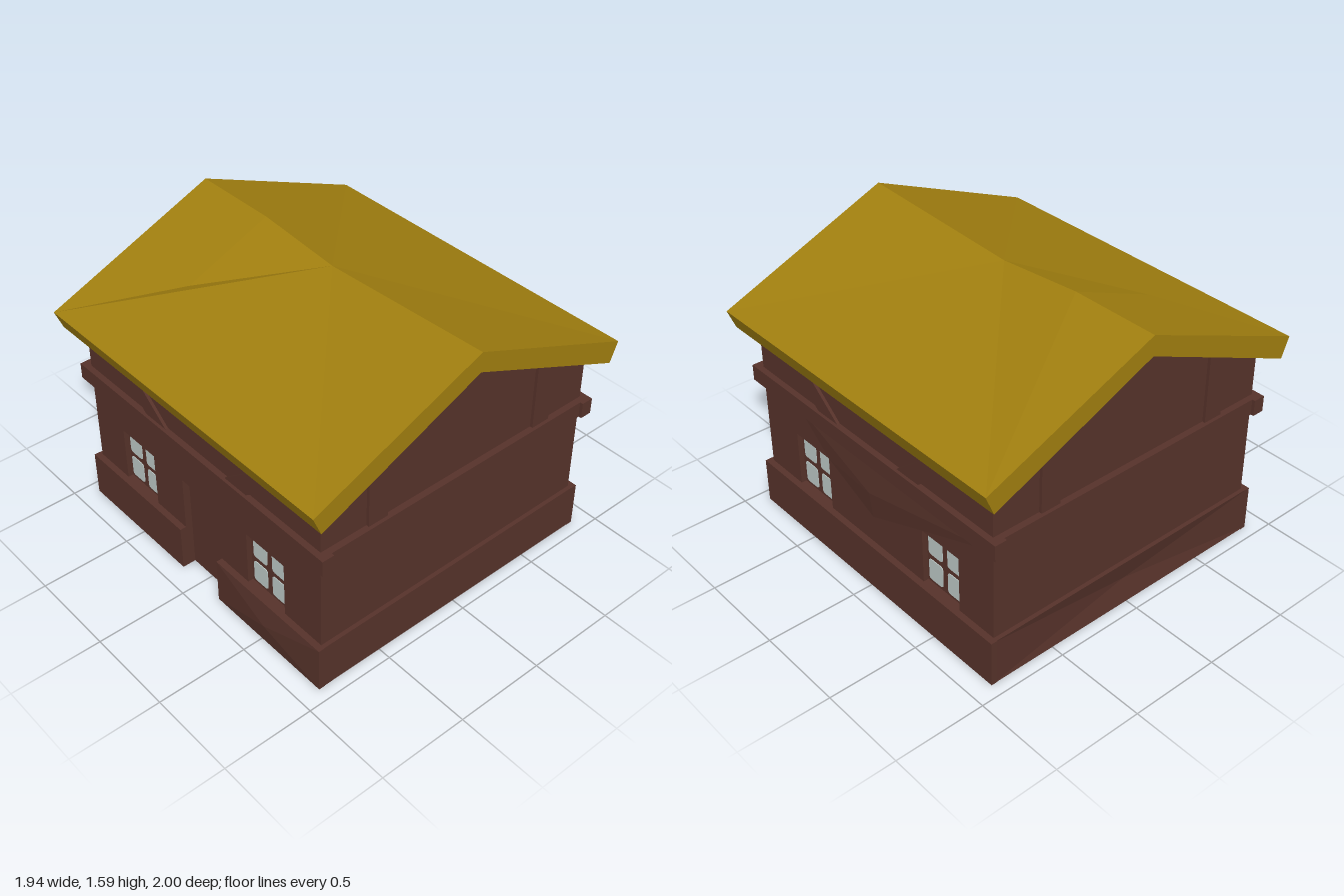
import * as THREE from 'three';

const mat = (name, color) => new THREE.MeshStandardMaterial({ name, color, side: THREE.DoubleSide, flatShading: true });

export function createModel() {
  const house = new THREE.Group();
  house.name = 'cottage';
  const wood = mat('dark wood', 0x56322a);
  const thatch = mat('thatch', 0xa07e0f);
  const glass = mat('pane glass', 0xbcc8c6);

  const add = (parent, name, geo, material = wood) => {
    const m = new THREE.Mesh(geo, material);
    m.name = name;
    parent.add(m);
    return m;
  };
  // Flat facets from polygons given as corner lists (counter-clockwise from outside)
  const facets = (polys) => {
    const out = [];
    for (const p of polys)
      for (let i = 1; i < p.length - 1; i++) out.push(...p[0], ...p[i], ...p[i + 1]);
    const g = new THREE.BufferGeometry();
    g.setAttribute('position', new THREE.Float32BufferAttribute(out, 3));
    g.computeVertexNormals();
    return g;
  };
  // Triangles from a centre to a closed ring
  const fan = (c, ring) => ring.map((p, i) => [c, p, ring[(i + 1) % ring.length]]);
  const shape = (pts) => new THREE.Shape(pts.map(([x, y]) => new THREE.Vector2(x, y)));
  const box = (parent, name, x0, x1, y0, y1, z0, z1, material) =>
    add(parent, name, new THREE.BoxGeometry(x1 - x0, y1 - y0, z1 - z0), material)
      .position.set((x0 + x1) / 2, (y0 + y1) / 2, (z0 + z1) / 2);
  const plate = (parent, name, pts, z, depth) =>
    add(parent, name, new THREE.ExtrudeGeometry(shape(pts), { depth, bevelEnabled: false })).position.z = z;

  // One side of the house: local x runs along it, local z points outwards
  const makeSide = (name, angle) => {
    const g = new THREE.Group();
    g.name = name;
    g.rotation.y = angle;
    house.add(g);
    return g;
  };

  const BASE = 0.26, HEAD = 0.575, BELT = 0.765, UP = 0.855;

  // Projecting plinth with a ledge on top and a bulged or dented middle
  const plinth = (side, u0, u1, wall, out, bulge) => {
    const ring = [[u0, 0, out], [u1, 0, out], [u1, BASE, out], [u0, BASE, out]];
    add(side, 'plinth', facets([
      ...fan([(u0 + u1) / 2, BASE / 2, out + bulge], ring),
      [[u0, BASE, out], [u1, BASE, out], [u1, BASE, wall], [u0, BASE, wall]],
      [[u1, 0, out], [u1, 0, wall], [u1, BASE, wall], [u1, BASE, out]],
      [[u0, 0, wall], [u0, 0, out], [u0, BASE, out], [u0, BASE, wall]],
    ]));
  };

  // Sunk panel with its jambs
  const recess = (side, name, u0, u1, y0, y1, wall, depth) => {
    const d = wall - depth;
    const c = [[u0, y0], [u1, y0], [u1, y1], [u0, y1]];
    const polys = [c.map(([u, y]) => [u, y, d])];
    c.forEach(([u, y], i) => {
      const [v, w] = c[(i + 1) % 4];
      if (y0 > 0 || i > 0) polys.push([[u, y, wall], [v, w, wall], [v, w, d], [u, y, d]]);
    });
    add(side, name, facets(polys));
  };

  const roundedPane = (w, h, r) => {
    const s = new THREE.Shape();
    s.moveTo(r, 0); s.lineTo(w - r, 0); s.quadraticCurveTo(w, 0, w, r);
    s.lineTo(w, h - r); s.quadraticCurveTo(w, h, w - r, h);
    s.lineTo(r, h); s.quadraticCurveTo(0, h, 0, h - r);
    s.lineTo(0, r); s.quadraticCurveTo(0, 0, r, 0);
    return new THREE.ExtrudeGeometry(s, { depth: 0.008, bevelEnabled: false, curveSegments: 3 });
  };

  const windowAt = (side, u0, u1, wall) => {
    recess(side, 'windowFrame', u0, u1, BASE, HEAD, wall, 0.03);
    const mid = (u0 + u1) / 2;
    for (const u of [mid - 0.122, mid + 0.019])
      for (const y of [0.278, 0.434])
        add(side, 'windowPane', roundedPane(0.103, 0.125, 0.018), glass).position.set(u, y, wall - 0.034);
  };

  // Long sides: s = 1 is the window side, s = -1 has the door
  for (const s of [1, -1]) {
    const side = makeSide(s > 0 ? 'leftSide' : 'rightSide', s * Math.PI / 2);
    const W = 0.85;
    const wins = [[0.36, 0.64], [-0.66, -0.39]].map(([a, b]) => (s > 0 ? [-b, -a] : [a, b]));
    const openings = [...wins, ...(s < 0 ? [[-0.15, 0.15]] : [])].sort((a, b) => a[0] - b[0]);
    const pts = [[-0.905, BASE]];
    for (const [a, b] of openings) pts.push([a, BASE], [a, HEAD], [b, HEAD], [b, BASE]);
    pts.push([0.905, BASE], [0.905, BELT + 0.04], [-0.905, BELT + 0.04]);
    add(side, 'lowerWall', new THREE.ShapeGeometry(shape(pts))).position.z = W;
    wins.forEach(([a, b]) => windowAt(side, a, b, W));

    if (s > 0) {
      plinth(side, -0.93, 0.93, W, 0.885, 0);
      // Warped boards between the windows
      add(side, 'wallBulge', facets(fan([0, HEAD, W + 0.016],
        [[-0.36, HEAD, W], [0, 0.42, W], [0.39, HEAD, W], [0.88, BELT, W], [-0.6, BELT, W]])));
    } else {
      plinth(side, -0.93, -0.15, W, 0.885, 0);
      plinth(side, 0.15, 0.93, W, 0.885, 0.02);
      recess(side, 'door', -0.15, 0.15, 0, HEAD, W, 0.04);
    }

    // Upper wall, diagonal braces and the long belt beam
    add(side, 'upperWall', new THREE.ShapeGeometry(shape(
      [[-0.905, BELT + 0.04], [0.905, BELT + 0.04], [0.905, 1.112], [-0.905, 1.112]]))).position.z = W;
    for (const m of [1, -1]) {
      const p = [[0.235, UP], [0.395, UP], [0.705, 1.104], [0.545, 1.104]].map(([u, y]) => [u * m, y]);
      plate(side, 'brace', p, W, 0.016);
    }
    box(side, 'sideBeam', -0.957, 0.957, BELT, UP, 0.815, 0.883);
  }

  // Gable ends
  for (const s of [1, -1]) {
    const end = makeSide(s > 0 ? 'frontGable' : 'backGable', s > 0 ? 0 : Math.PI);
    const W = 0.905;
    plinth(end, -0.885, 0.885, W, 0.928, s > 0 ? 0 : -0.03);
    add(end, 'gableWall', new THREE.ShapeGeometry(shape(
      [[-0.85, BASE], [0.85, BASE], [0.85, 1.11], [0, 1.478], [-0.85, 1.11]]))).position.z = W;
    box(end, 'gableBeam', -0.82, 0.82, BELT, UP, W - 0.02, W + 0.035);
    const under = (x) => 1.476 - 0.432 * Math.abs(x);
    for (const [a, b] of [[-0.58, -0.465], [0.488, 0.6]])
      plate(end, 'gablePost', [[a, UP], [b, UP], [b, under(b)], [a, under(a)]], W, 0.016);
  }

  // Sagging roof
  const E = 0.97, L = 0.925;
  const ridgeF = [0, 1.59, 1], sag = [0, 1.545, 0], ridgeM = [0, 1.59, -0.5], ridgeB = [0, 1.59, -1];
  const polys = [];
  for (const s of [1, -1]) {
    const eF = [s * E, 1.19, 1], eB = [s * E, 1.19, -1];
    const lF = [s * L, 1.08, 1], lB = [s * L, 1.08, -1];
    const uF = [0, 1.48, 1], uB = [0, 1.48, -1];
    const knee = [-0.485, 1.39, -0.5];
    const half = [
      [ridgeF, eF, sag], [eF, eB, sag],
      ...(s > 0
        ? [[sag, eB, ridgeM], [ridgeM, eB, ridgeB]]
        : [[sag, eB, knee], [sag, knee, ridgeM], [ridgeM, knee, ridgeB], [knee, eB, ridgeB]]),
      [eF, lF, lB, eB],
      [lF, uF, uB, lB],
      [ridgeF, uF, lF, eF],
      [ridgeB, eB, lB, uB],
    ];
    polys.push(...(s > 0 ? half : half.map((p) => [...p].reverse())));
  }
  add(house, 'roof', facets(polys), thatch);

  return house;
}
